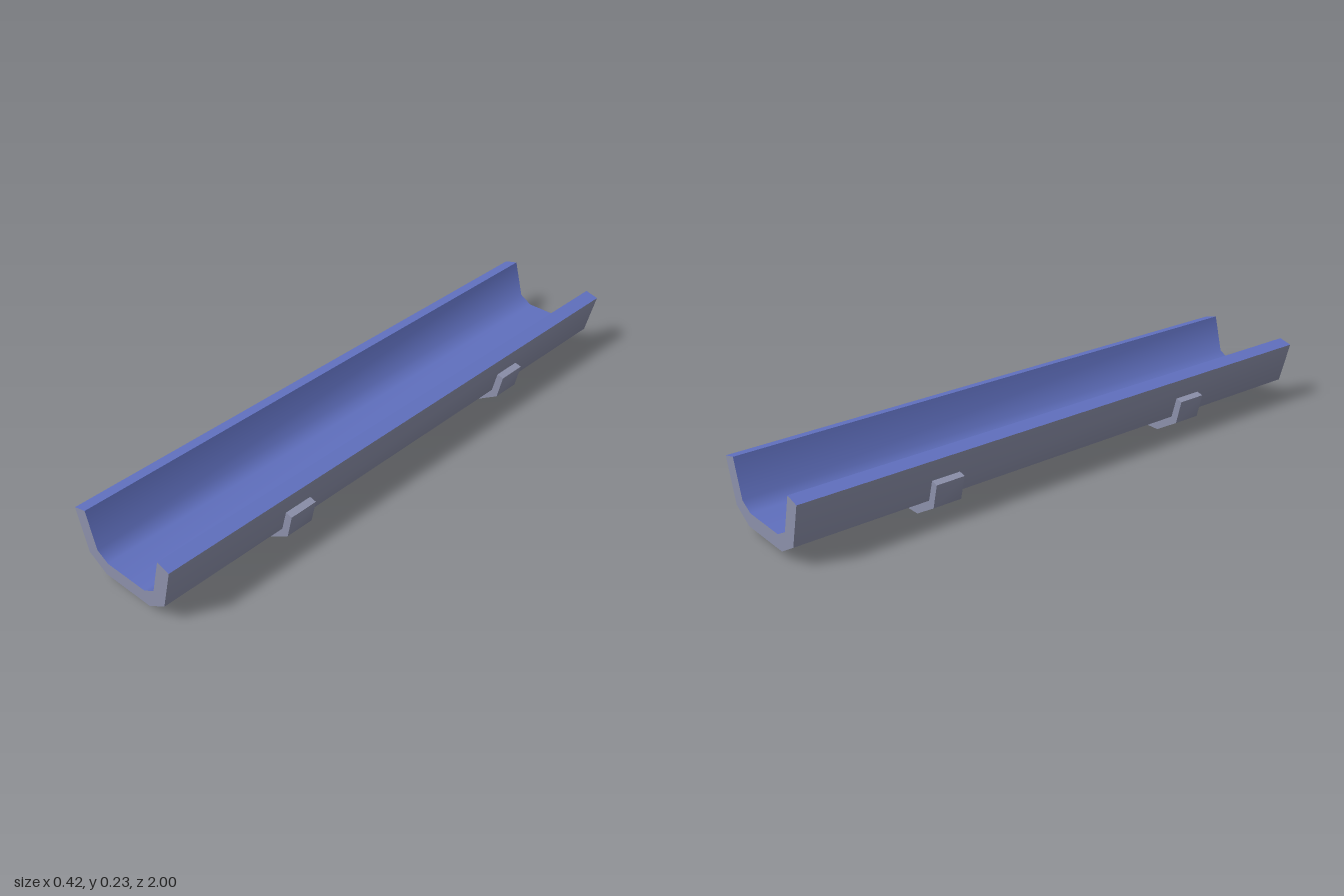
import * as THREE from 'three';
import { toCreasedNormals } from 'three/addons/utils/BufferGeometryUtils.js';

const CREASE = Math.PI / 3;

// Completes a right-hand half profile (top to bottom) into one running left to right
const mirrored = (half) => [...half.map(([x, y]) => [-x, y]), ...[...half].reverse()];

// Sweeps an open profile along z; the surface faces the right of its direction
function strip(profile, z) {
  const pos = [];
  for (let i = 0; i < profile.length - 1; i++) {
    const [a, b] = [profile[i], profile[i + 1]];
    pos.push(...a, z, ...a, -z, ...b, -z, ...a, z, ...b, -z, ...b, z);
  }
  const geo = new THREE.BufferGeometry();
  geo.setAttribute('position', new THREE.Float32BufferAttribute(pos, 3));
  return toCreasedNormals(geo, CREASE);
}

const toShape = (points) => new THREE.Shape(points.map(([x, y]) => new THREE.Vector2(x, y)));

export function createModel() {
  const group = new THREE.Group();
  const grey = new THREE.MeshStandardMaterial({ name: 'greyShell', color: 0x8b8fa9 });
  const blue = new THREE.MeshStandardMaterial({ name: 'blueLining', color: 0x6070bf });

  const add = (name, geometry, material, z = 0) => {
    const mesh = new THREE.Mesh(geometry, material);
    mesh.name = name;
    mesh.position.z = z;
    group.add(mesh);
    return mesh;
  };

  const outer = mirrored([[0.206, 0.214], [0.167, 0.069], [0.097, 0.027]]);
  const inner = mirrored([[0.159, 0.226], [0.125, 0.1], [0.081, 0.075]]).reverse();

  // Trough: grey outside, blue channel with its two rims
  add('troughShell', strip(outer, 1), grey);
  add('troughLining', strip([outer.at(-1), ...inner, outer[0]], 1), blue);

  // Flat end faces of the trough wall
  const endGeometry = new THREE.ShapeGeometry(toShape([...outer, ...inner]));
  add('frontEnd', endGeometry, grey, 1);
  add('backEnd', endGeometry, grey, -1).rotation.y = Math.PI;

  // Two support brackets hugging the underside
  const bracketOuter = mirrored([[0.21, 0.135], [0.189, 0.052], [0.101, 0]]);
  const bracketInner = mirrored([[0.186, 0.141], [0.167, 0.069], [0.097, 0.027]]).reverse();
  const bracketGeometry = toCreasedNormals(
    new THREE.ExtrudeGeometry(toShape([...bracketOuter, ...bracketInner]), { depth: 0.1, bevelEnabled: false }),
    CREASE
  );
  bracketGeometry.translate(0, 0, -0.05);
  add('frontBracket', bracketGeometry, grey, 0.5);
  add('backBracket', bracketGeometry, grey, -0.5);

  return group;
}
